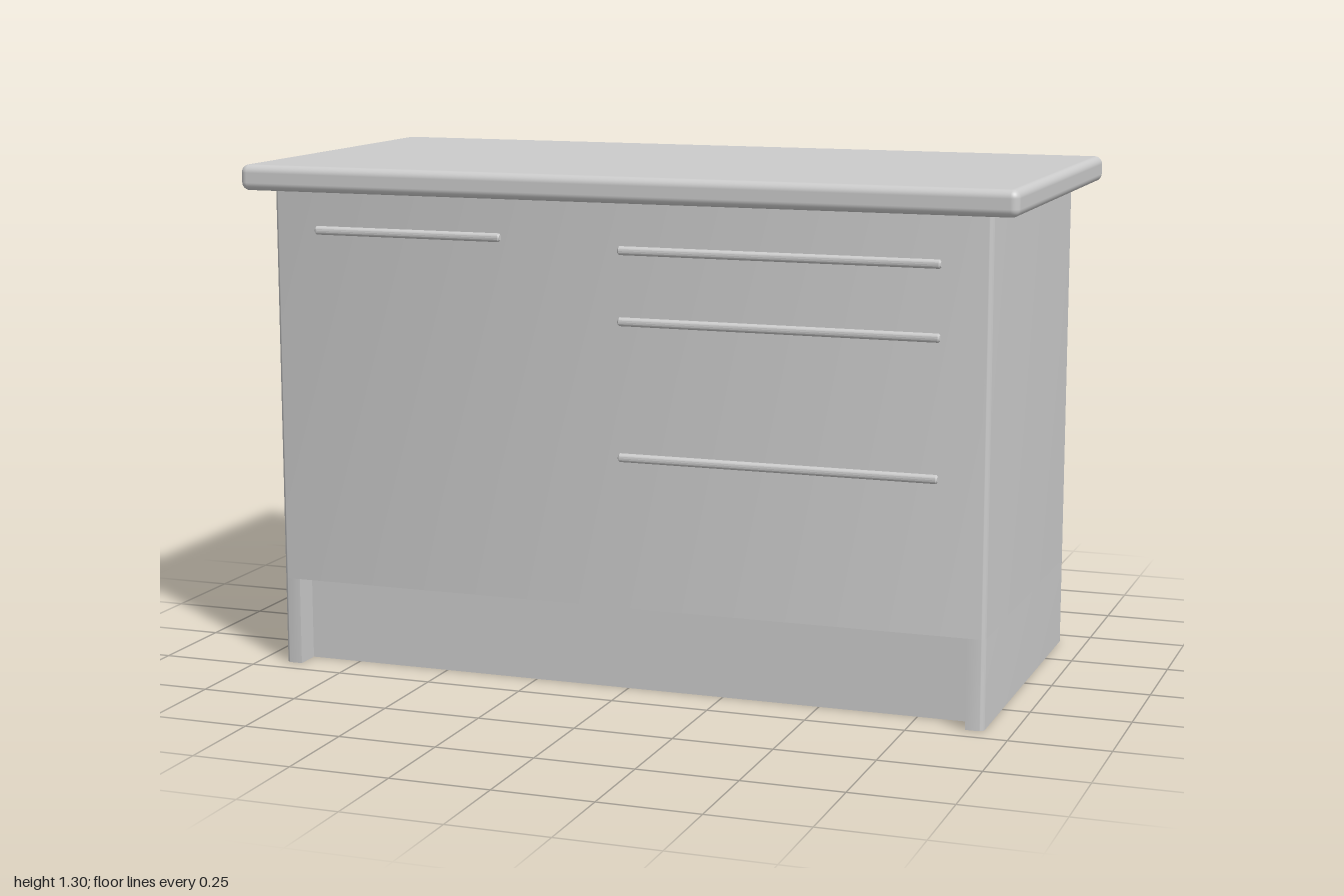
import * as THREE from 'three';
import { RoundedBoxGeometry } from 'three/addons/geometries/RoundedBoxGeometry.js';
import { toCreasedNormals } from 'three/addons/utils/BufferGeometryUtils.js';

const W = 0.93, D = 0.448, R = 0.015;      // half width, half depth, corner radius of the body
const TOP = 1.235, KICK_Y = 0.225, KICK_X = 0.885, KICK_Z = 0.38;

const grey = new THREE.MeshStandardMaterial({ color: 0xcccccc });
const greySheet = new THREE.MeshStandardMaterial({ color: 0xcccccc, side: THREE.DoubleSide });

function addMesh(group, name, geometry, material, x = 0, y = 0, z = 0) {
  const mesh = new THREE.Mesh(geometry, material);
  mesh.name = name;
  mesh.position.set(x, y, z);
  group.add(mesh);
  return mesh;
}

// Plan outline of the cabinet (x, z), with or without the toe recess in the front
function outline(recessed) {
  const s = new THREE.Shape();
  s.moveTo(W, D - R);
  s.lineTo(W, -D + R);
  s.absarc(W - R, -D + R, R, 0, -Math.PI / 2, true);
  s.absarc(-W + R, -D + R, R, -Math.PI / 2, -Math.PI, true);
  s.absarc(-W + R, D - R, R, Math.PI, Math.PI / 2, true);
  if (recessed) {
    s.lineTo(-KICK_X, D);
    s.lineTo(-KICK_X, KICK_Z);
    s.lineTo(KICK_X, KICK_Z);
    s.lineTo(KICK_X, D);
  }
  s.absarc(W - R, D - R, R, Math.PI / 2, 0, true);
  return s.getPoints(5);
}

// Upright sheet following a closed outline between two heights
function wall(points, y0, y1) {
  const pos = [];
  points.forEach((a, i) => {
    const b = points[(i + 1) % points.length];
    if (a.distanceTo(b) < 1e-6) return;
    pos.push(a.x, y0, a.y, a.x, y1, a.y, b.x, y1, b.y);
    pos.push(a.x, y0, a.y, b.x, y1, b.y, b.x, y0, b.y);
  });
  const g = new THREE.BufferGeometry();
  g.setAttribute('position', new THREE.Float32BufferAttribute(pos, 3));
  return toCreasedNormals(g, Math.PI / 5);
}

export function createModel() {
  const model = new THREE.Group();
  model.name = 'kitchenCabinet';

  // Worktop slab with rounded edges
  addMesh(model, 'worktop', new RoundedBoxGeometry(2, 0.065, 1, 5, 0.02), grey, 0, TOP + 0.0325, 0);

  // Hollow body, open underneath
  addMesh(model, 'cabinetWalls', wall(outline(false), KICK_Y, TOP), greySheet);
  addMesh(model, 'baseWalls', wall(outline(true), 0, KICK_Y), greySheet);

  // Ceiling of the toe recess
  const ceiling = new THREE.PlaneGeometry(KICK_X * 2, D - KICK_Z).rotateX(Math.PI / 2);
  addMesh(model, 'toeRecessCeiling', ceiling, greySheet, 0, KICK_Y, (D + KICK_Z) / 2);

  // Bar handles: left end, right end, height
  const handles = [
    ['doorHandle', -0.81, -0.305, 1.137],
    ['topDrawerHandle', 0.005, 0.81, 1.118],
    ['middleDrawerHandle', 0.005, 0.81, 0.944],
    ['bottomDrawerHandle', 0.005, 0.81, 0.607],
  ];
  const r = 0.011, e = 0.004;
  for (const [name, x0, x1, y] of handles) {
    const h = (x1 - x0) / 2;
    const profile = [[0, -h], [r - e, -h], [r, -h + e], [r, h - e], [r - e, h], [0, h]]
      .map(([a, b]) => new THREE.Vector2(a, b));
    const bar = toCreasedNormals(new THREE.LatheGeometry(profile, 16), Math.PI / 6).rotateZ(Math.PI / 2);
    addMesh(model, name, bar, grey, (x0 + x1) / 2, y, 0.457);
  }
  return model;
}
